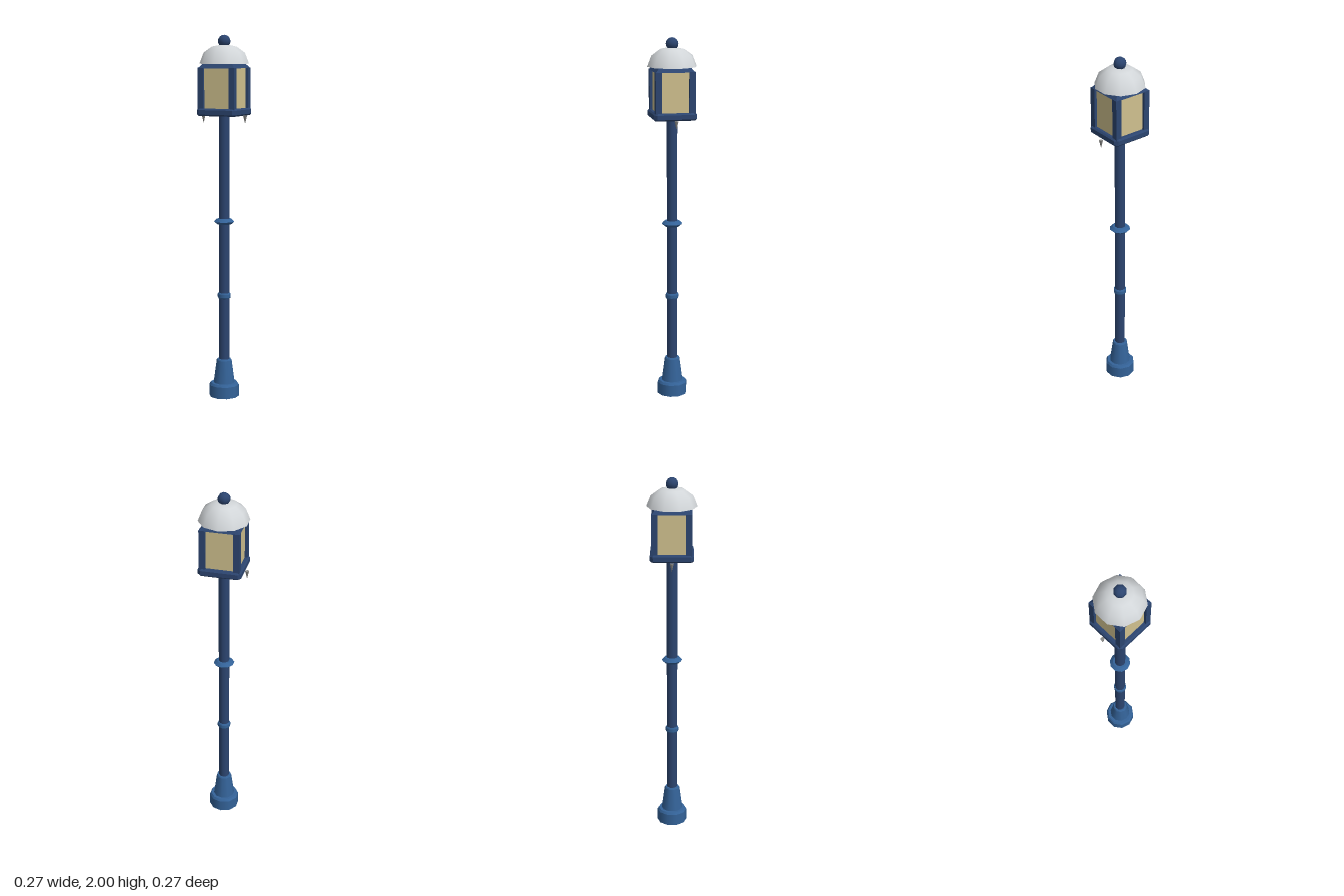
import * as THREE from 'three';

const mat = (name, color) => {
  const m = new THREE.MeshStandardMaterial({ color });
  m.name = name;
  return m;
};

export function createModel() {
  const group = new THREE.Group();
  const navy = mat('navy iron', 0x2c4570);
  const blue = mat('blue iron', 0x346399);
  const white = mat('pale dome', 0xd2d6d9);
  const amber = mat('cream glass', 0xcfc08e);
  const grey = mat('grey metal', 0x8a8a88);

  const add = (name, geometry, material, x = 0, y = 0, z = 0) => {
    const mesh = new THREE.Mesh(geometry, material);
    mesh.name = name;
    mesh.position.set(x, y, z);
    group.add(mesh);
    return mesh;
  };

  // Ten-sided turned part: smooth around, crisp between profile segments
  const turned = (name, profile, material) => {
    const part = new THREE.Group();
    part.name = name;
    for (let i = 0; i < profile.length - 1; i++) {
      const pts = [profile[i], profile[i + 1]].map(([r, y]) => new THREE.Vector2(r, y));
      part.add(new THREE.Mesh(new THREE.LatheGeometry(pts, 10), material));
    }
    group.add(part);
  };

  // Square slab with cut corners and bevelled rims
  const slab = (half, cut, bevel, y0, y1) => {
    const h = half - bevel, c = h - cut;
    const shape = new THREE.Shape([
      [h, -c], [h, c], [c, h], [-c, h], [-h, c], [-h, -c], [-c, -h], [c, -h],
    ].map(([x, y]) => new THREE.Vector2(x, y)));
    const geo = new THREE.ExtrudeGeometry(shape, {
      depth: y1 - y0 - 2 * bevel, bevelEnabled: true,
      bevelSize: bevel, bevelThickness: bevel, bevelSegments: 1,
    });
    return geo.rotateX(-Math.PI / 2).translate(0, y0 + bevel, 0);
  };

  // Pedestal, pole and collars
  turned('pedestal', [[0, 0], [0.083, 0], [0.083, 0.065], [0.075, 0.077],
    [0.059, 0.077], [0.042, 0.205], [0.038, 0.212], [0, 0.212]], blue);
  add('pole', new THREE.CylinderGeometry(0.029, 0.029, 1.38, 10), navy, 0, 0.89, 0);
  turned('lowerCollar', [[0.028, 0.555], [0.033, 0.557], [0.036, 0.563],
    [0.036, 0.58], [0.033, 0.587], [0.028, 0.588]], blue);
  turned('upperCollar', [[0.028, 0.971], [0.04, 0.972], [0.057, 0.987],
    [0.04, 1.002], [0.028, 1.003]], blue);

  // Lantern floor and roof frame
  add('lanternFloor', slab(0.116, 0.012, 0.008, 1.568, 1.608), navy);
  const roof = new THREE.CylinderGeometry(0.085 * Math.SQRT2, 0.107 * Math.SQRT2, 0.025, 4);
  add('lanternRoof', roof.rotateY(Math.PI / 4).toNonIndexed(), navy, 0, 1.835, 0)
    .geometry.computeVertexNormals();

  // Glass with four corner posts around it
  add('glass', new THREE.BoxGeometry(0.186, 0.222, 0.186), amber, 0, 1.714, 0);
  for (const x of [-1, 1]) for (const z of [-1, 1]) {
    add('cornerPost', new THREE.BoxGeometry(0.033, 0.226, 0.033), navy, x * 0.091, 1.712, z * 0.091);
  }

  // Domed cap, closed beneath
  const dome = [[0, 1.946], [0.035, 1.944], [0.068, 1.937], [0.112, 1.905], [0.135, 1.846]];
  const domeGeo = new THREE.LatheGeometry(
    dome.reverse().map(([r, y]) => new THREE.Vector2(r, y)), 10);
  add('dome', domeGeo, white);
  add('domeUnderside', new THREE.CircleGeometry(0.135, 10).rotateZ(Math.PI / 2).rotateX(Math.PI / 2),
    white, 0, 1.8475, 0);

  // Ball finial
  add('finial', new THREE.SphereGeometry(0.034, 8, 8).rotateY(Math.PI / 8), navy, 0, 1.966, 0);

  // Small pointed drops on either side
  for (const x of [-1, 1]) {
    add('drop', new THREE.ConeGeometry(0.011, 0.044, 6).rotateX(Math.PI), grey, x * 0.124, 1.547, 0);
  }
  return group;
}
